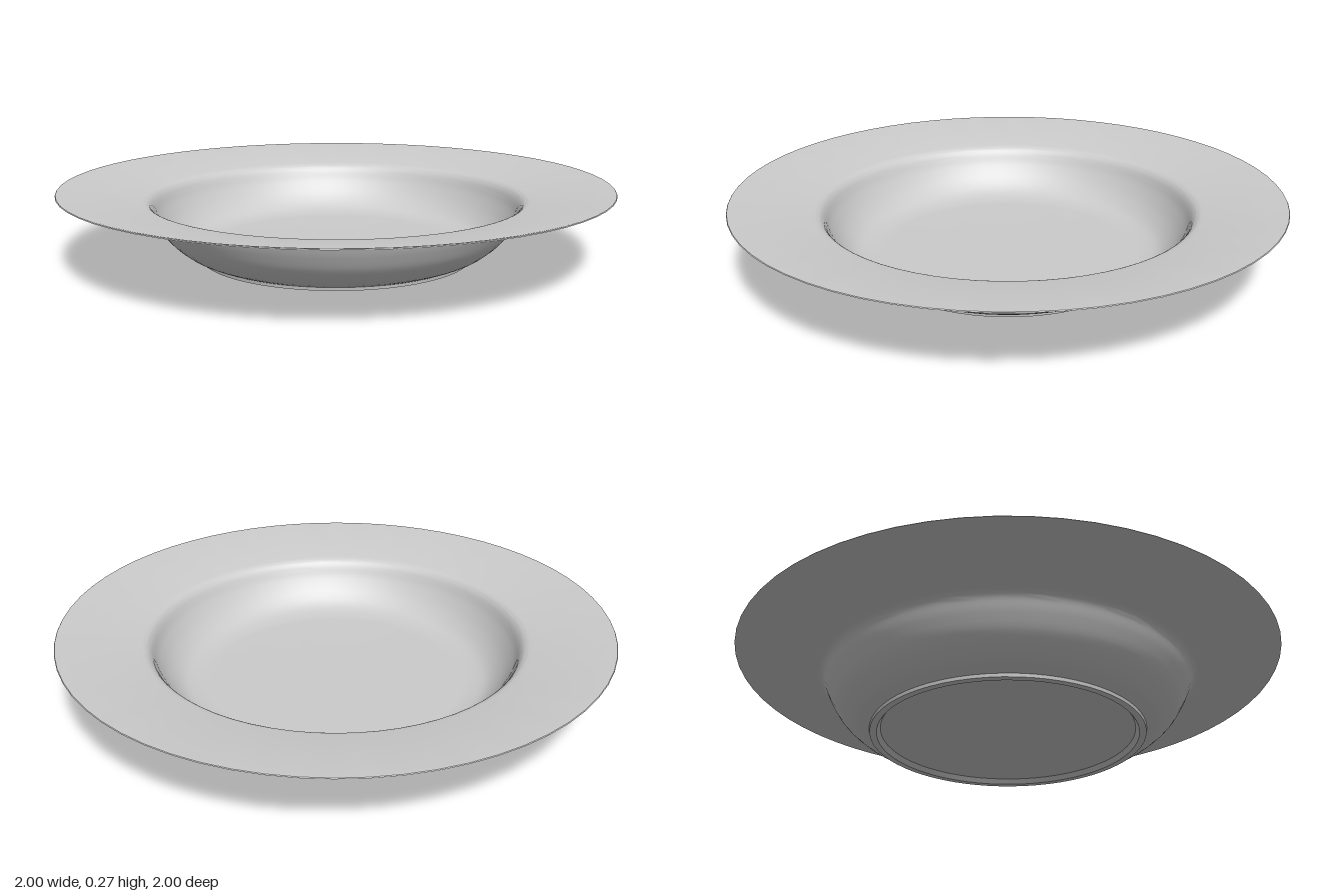
import * as THREE from 'three';
import { toCreasedNormals } from 'three/addons/utils/BufferGeometryUtils.js';

const SEGMENTS = 64;

// Smooth curve through a few [radius, height] points
function curve(points, steps) {
  return new THREE.SplineCurve(points.map(([r, y]) => new THREE.Vector2(r, y))).getPoints(steps);
}

function revolve(name, profile) {
  const geometry = toCreasedNormals(new THREE.LatheGeometry(profile, SEGMENTS), 0.6);
  const mesh = new THREE.Mesh(geometry, new THREE.MeshStandardMaterial({ color: 0xcccccc }));
  mesh.name = name;
  return mesh;
}

export function createModel() {
  const plate = new THREE.Group();
  plate.name = 'soupPlate';
  const p = (r, y) => new THREE.Vector2(r, y);

  // Recessed underside and narrow foot ring
  plate.add(revolve('footRing', [p(0, 0.018), p(0.465, 0.018), p(0.478, 0), p(0.503, 0), p(0.505, 0.012)]));

  // Outside of the bowl, flaring into the underside of the rim
  plate.add(revolve('outerWall', [
    ...curve([[0.505, 0.012], [0.56, 0.038], [0.62, 0.09], [0.658, 0.15], [0.68, 0.195], [0.7, 0.211], [0.73, 0.218]], 28),
    p(1, 0.264),
  ]));

  // Thin rim edge, sloping rim top, rounded lip and inside of the bowl
  plate.add(revolve('rimAndBowl', [
    p(1, 0.264), p(0.998, 0.267), p(0.99, 0.267),
    ...curve([[0.72, 0.224], [0.69, 0.217], [0.67, 0.197], [0.648, 0.15], [0.61, 0.095], [0.56, 0.053], [0.5, 0.038], [0.45, 0.036]], 32),
    p(0, 0.036),
  ]));

  return plate;
}
